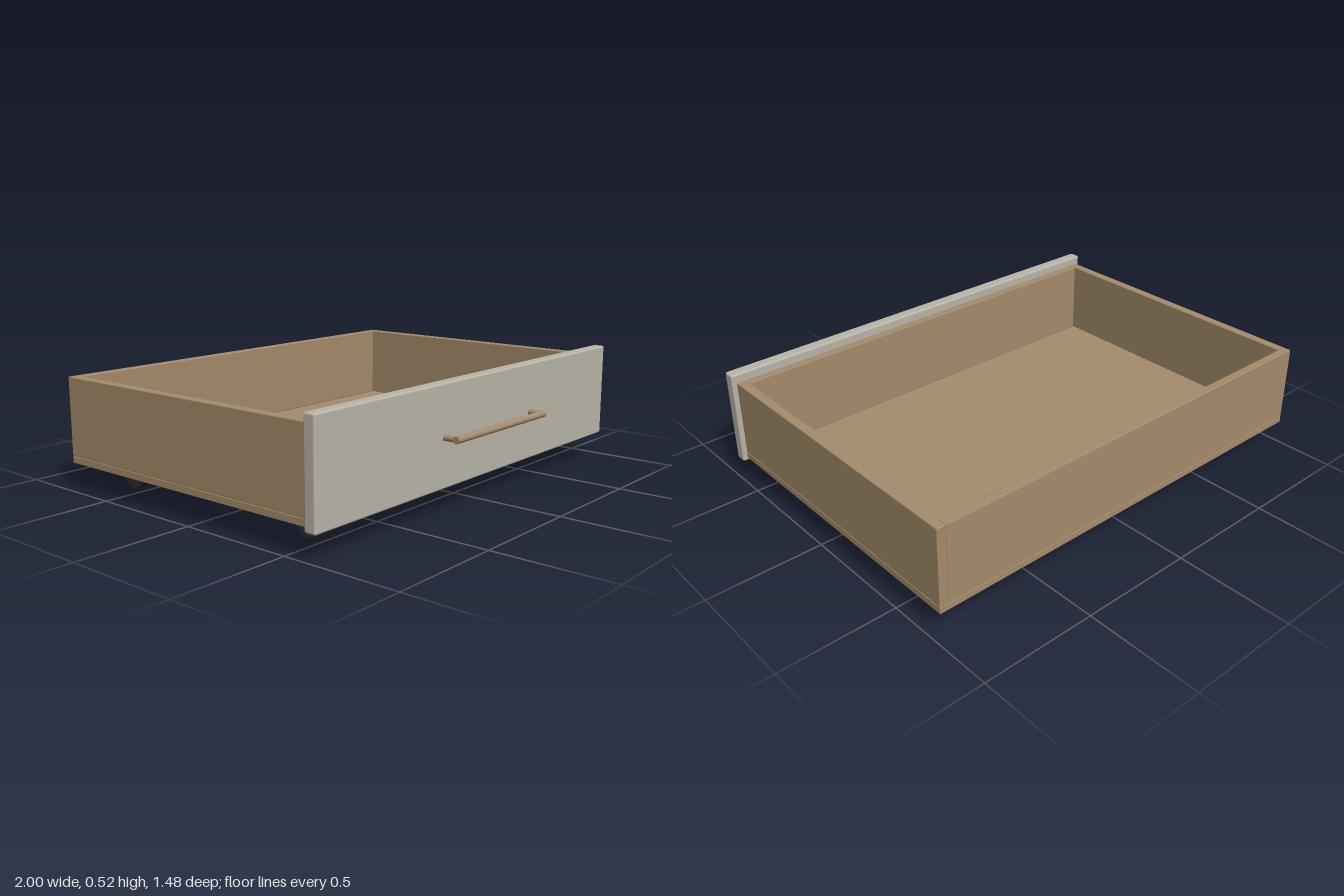
import * as THREE from 'three';
import { RoundedBoxGeometry } from 'three/addons/geometries/RoundedBoxGeometry.js';

function paint(name, color) {
  const m = new THREE.MeshStandardMaterial({ color });
  m.name = name;
  return m;
}

export function createModel() {
  const wood = paint('wood', 0xa58c6c);
  const panelPaint = paint('panelPaint', 0xb9b5a9);
  const rubber = paint('rubber', 0x2b2b2b);

  const model = new THREE.Group();
  model.name = 'drawer';

  function add(name, geometry, material, x, y, z) {
    const mesh = new THREE.Mesh(geometry, material);
    mesh.name = name;
    mesh.position.set(x, y, z);
    model.add(mesh);
    return mesh;
  }

  // Board with softened edges, given by its lower and upper corners
  function board(name, material, radius, [x0, y0, z0], [x1, y1, z1]) {
    const geometry = new RoundedBoxGeometry(x1 - x0, y1 - y0, z1 - z0, 2, radius);
    add(name, geometry, material, (x0 + x1) / 2, (y0 + y1) / 2, (z0 + z1) / 2);
  }

  // Open box
  const bottom = 0.115, floorTop = 0.145, rim = 0.48;
  const back = -0.742, front = 0.592, inner = 0.94, outer = 0.98;
  board('floor', wood, 0.003, [-outer, bottom, back], [outer, floorTop, front]);
  board('leftSide', wood, 0.004, [inner, floorTop, back], [outer, rim, front]);
  board('rightSide', wood, 0.004, [-outer, floorTop, back], [-inner, rim, front]);
  board('backBoard', wood, 0.004, [-inner, floorTop, back], [inner, rim, back + 0.037]);
  board('innerFront', wood, 0.004, [-inner, floorTop, front - 0.037], [inner, rim, front]);

  // Front panel
  board('frontPanel', panelPaint, 0.009, [-1, 0.102, front], [1, 0.518, 0.645]);

  // Handle: a round bar on two short posts
  const barZ = 0.728, handleY = 0.316;
  add('handleBar', new THREE.CylinderGeometry(0.0145, 0.0145, 0.634, 20), wood, 0, handleY, barZ)
    .rotation.z = Math.PI / 2;
  for (const side of [-1, 1]) {
    add('handlePost', new THREE.CylinderGeometry(0.012, 0.012, 0.06, 16), wood,
      side * 0.305, handleY, barZ - 0.03).rotation.x = Math.PI / 2;
  }

  // Wheels
  for (const side of [-1, 1]) {
    for (const z of [0.431, -0.57]) {
      add('wheel', new THREE.CylinderGeometry(0.064, 0.064, 0.056, 32), rubber, side * 0.777, 0.064, z)
        .rotation.z = Math.PI / 2;
    }
  }

  return model;
}
